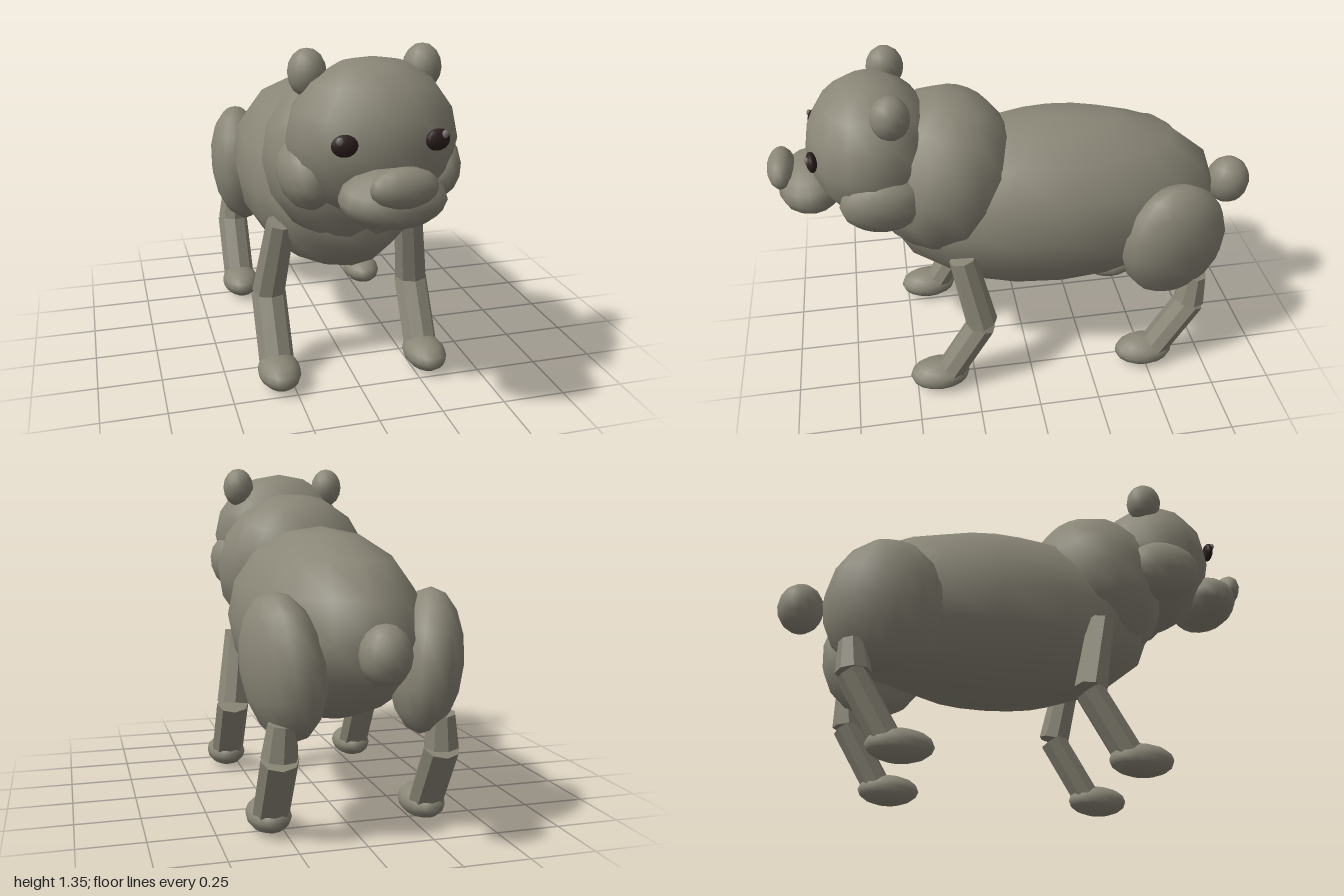
import * as THREE from 'three';

export function createModel() {
  const model = new THREE.Group();
  model.name = 'bear';

  const fur = new THREE.MeshStandardMaterial({ color: 0x8a8677 });
  fur.name = 'grey fur';
  const legFur = new THREE.MeshStandardMaterial({ color: 0x8a8677, flatShading: true });
  legFur.name = 'faceted grey fur';
  const dark = new THREE.MeshStandardMaterial({ color: 0x2b1f1e });
  dark.name = 'dark eye';
  const shine = new THREE.MeshStandardMaterial({ color: 0x77716d });
  shine.name = 'eye shine';

  const ball = new THREE.SphereGeometry(1, 16, 8);

  // Stretched ball: position, radii, rotation
  function blob(name, pos, radii, rot = [0, 0, 0], material = fur) {
    const mesh = new THREE.Mesh(ball, material);
    mesh.name = name;
    mesh.position.set(...pos);
    mesh.scale.set(...radii);
    mesh.rotation.set(...rot);
    model.add(mesh);
  }

  // Mirrored pair of stretched balls
  function pair(name, [x, y, z], radii, [rx, ry, rz] = [0, 0, 0], material = fur) {
    blob(name + 'Left', [x, y, z], radii, [rx, ry, rz], material);
    blob(name + 'Right', [-x, y, z], radii, [rx, -ry, -rz], material);
  }

  // Mirrored pair of eight-sided leg segments, from top to bottom
  function limb(name, top, bottom, topRadius, bottomRadius, depth) {
    for (const side of [1, -1]) {
      const a = new THREE.Vector3(top[0] * side, top[1], top[2]);
      const b = new THREE.Vector3(bottom[0] * side, bottom[1], bottom[2]);
      const axis = a.clone().sub(b);
      const mesh = new THREE.Mesh(
        new THREE.CylinderGeometry(topRadius, bottomRadius, axis.length(), 8), legFur);
      mesh.name = name + (side > 0 ? 'Left' : 'Right');
      mesh.position.copy(a).add(b).multiplyScalar(0.5);
      mesh.quaternion.setFromUnitVectors(new THREE.Vector3(0, 1, 0), axis.normalize());
      mesh.scale.z = depth;
      model.add(mesh);
    }
  }

  // Trunk
  blob('body', [0, 0.733, -0.13], [0.36, 0.378, 0.7]);
  blob('neck', [0, 0.91, 0.325], [0.34, 0.335, 0.295], [-0.3, 0, 0]);
  blob('tail', [0, 0.715, -0.905], [0.09, 0.106, 0.093]);
  pair('hip', [0.272, 0.632, -0.585], [0.135, 0.272, 0.23], [0.14, 0.2, -0.12]);

  // Head
  blob('head', [0, 1.052, 0.59], [0.306, 0.279, 0.253]);
  pair('ear', [0.21, 1.27, 0.512], [0.069, 0.085, 0.074]);
  pair('cheek', [0.235, 0.922, 0.565], [0.095, 0.125, 0.165], [0, 0, -0.25]);
  blob('snout', [0, 0.905, 0.835], [0.187, 0.102, 0.135], [0.1, 0, 0]);
  blob('nose', [0, 0.973, 0.945], [0.116, 0.069, 0.055]);
  pair('eye', [0.16, 1.085, 0.813], [0.045, 0.038, 0.02], [0, 0.12, 0], dark);
  pair('eyeShine', [0.18, 1.105, 0.826], [0.012, 0.014, 0.01], [0, 0, 0], shine);

  // Legs and paws
  limb('frontUpperLeg', [0.262, 0.64, 0.28], [0.303, 0.33, 0.215], 0.058, 0.068, 0.95);
  limb('backUpperLeg', [0.296, 0.455, -0.688], [0.303, 0.33, -0.675], 0.052, 0.068, 0.98);
  for (const [name, z] of [['front', 0], ['back', -0.895]]) {
    limb(name + 'LowerLeg', [0.303, 0.325, 0.212 + z], [0.303, 0.09, 0.35 + z], 0.07, 0.07, 0.82);
    pair(name + 'Paw', [0.303, 0.066, 0.402 + z], [0.084, 0.062, 0.125]);
  }
  return model;
}
